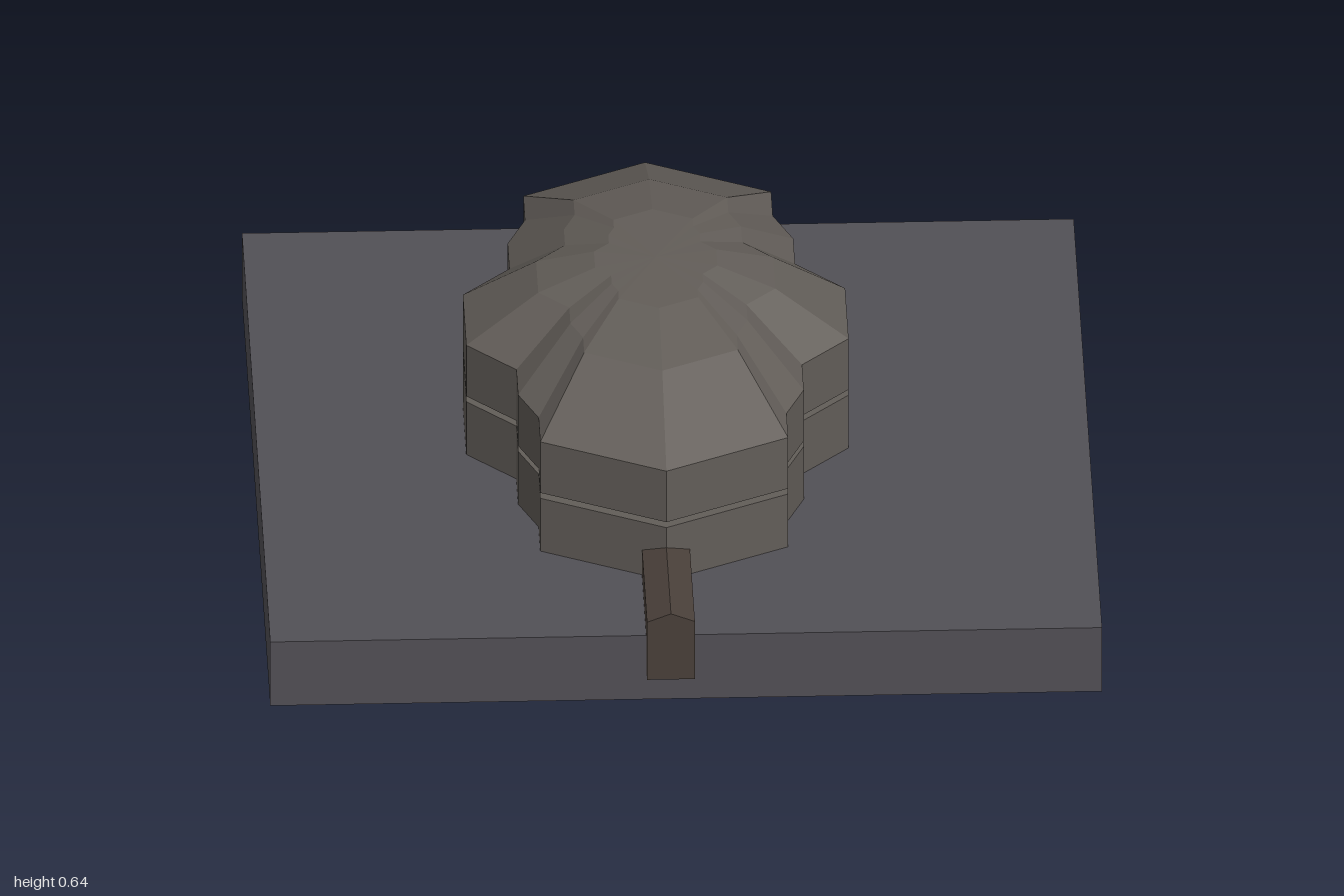
import * as THREE from 'three';

// One quarter of the lobed plan, from the front tip round to the side lobe [x, z]
const QUARTER = [[0, 0.735], [0.295, 0.585], [0.295, 0.47], [0.34, 0.36], [0.34, 0.24], [0.455, 0.12]];

// Mirror the quarter into the full plan, running front, left, back, right
function fullPlan() {
  const half = [...QUARTER, ...QUARTER.map(([x, z]) => [x, -z]).reverse()];
  const other = half.slice(1, -1).map(([x, z]) => [-x, z]).reverse();
  return [...half, ...other];
}

// Loft the plan through rings of [scale, y]; a scale of 0 closes an end
function loft(plan, rings) {
  const pos = [];
  const at = (i, [s, y]) => {
    const [x, z] = plan[i % plan.length];
    return [x * s, y, z * s];
  };
  for (let r = 0; r < rings.length - 1; r++) {
    const lo = rings[r], hi = rings[r + 1];
    for (let i = 0; i < plan.length; i++) {
      if (lo[0] > 0) pos.push(...at(i, lo), ...at(i + 1, lo), ...at(i + 1, hi));
      if (hi[0] > 0) pos.push(...at(i, lo), ...at(i + 1, hi), ...at(i, hi));
    }
  }
  const geo = new THREE.BufferGeometry();
  geo.setAttribute('position', new THREE.Float32BufferAttribute(pos, 3));
  geo.computeVertexNormals();
  return geo;
}

export function createModel() {
  const model = new THREE.Group();
  model.name = 'lobedBunker';

  const add = (parent, name, geo, color, x = 0, y = 0, z = 0) => {
    const mat = new THREE.MeshStandardMaterial({ color, flatShading: true });
    const mesh = new THREE.Mesh(geo, mat);
    mesh.name = name;
    mesh.position.set(x, y, z);
    parent.add(mesh);
  };

  // Ground slab
  add(model, 'groundSlab', new THREE.BoxGeometry(1.98, 0.175, 1.945), 0x525056, 0, 0.0875, -0.0275);

  // Lobed building: lower wall, recessed window band, upper wall with pleated dome
  const building = new THREE.Group();
  building.name = 'building';
  building.position.set(-0.038, 0, -0.05);
  model.add(building);
  const plan = fullPlan();
  add(building, 'lowerWall', loft(plan, [[0, 0.165], [1, 0.165], [1, 0.32], [0, 0.32]]), 0x625d58);
  add(building, 'windowBand', loft(plan, [[0.73, 0.31], [0.73, 0.345]]), 0x2a2a40);
  add(building, 'domeRoof', loft(plan, [
    [0, 0.335], [1, 0.335], [1, 0.475], [0.62, 0.59], [0.32, 0.635], [0, 0.64],
  ]), 0x625d58);

  // Gabled entrance tunnel
  const gable = new THREE.Shape([
    [-0.057, 0.085], [0.057, 0.085], [0.057, 0.243], [0, 0.265], [-0.057, 0.243],
  ].map(([x, y]) => new THREE.Vector2(x, y)));
  add(model, 'entranceTunnel',
    new THREE.ExtrudeGeometry(gable, { depth: 0.345, bevelEnabled: false }), 0x4a403a, -0.038, 0, 0.655);

  return model;
}
